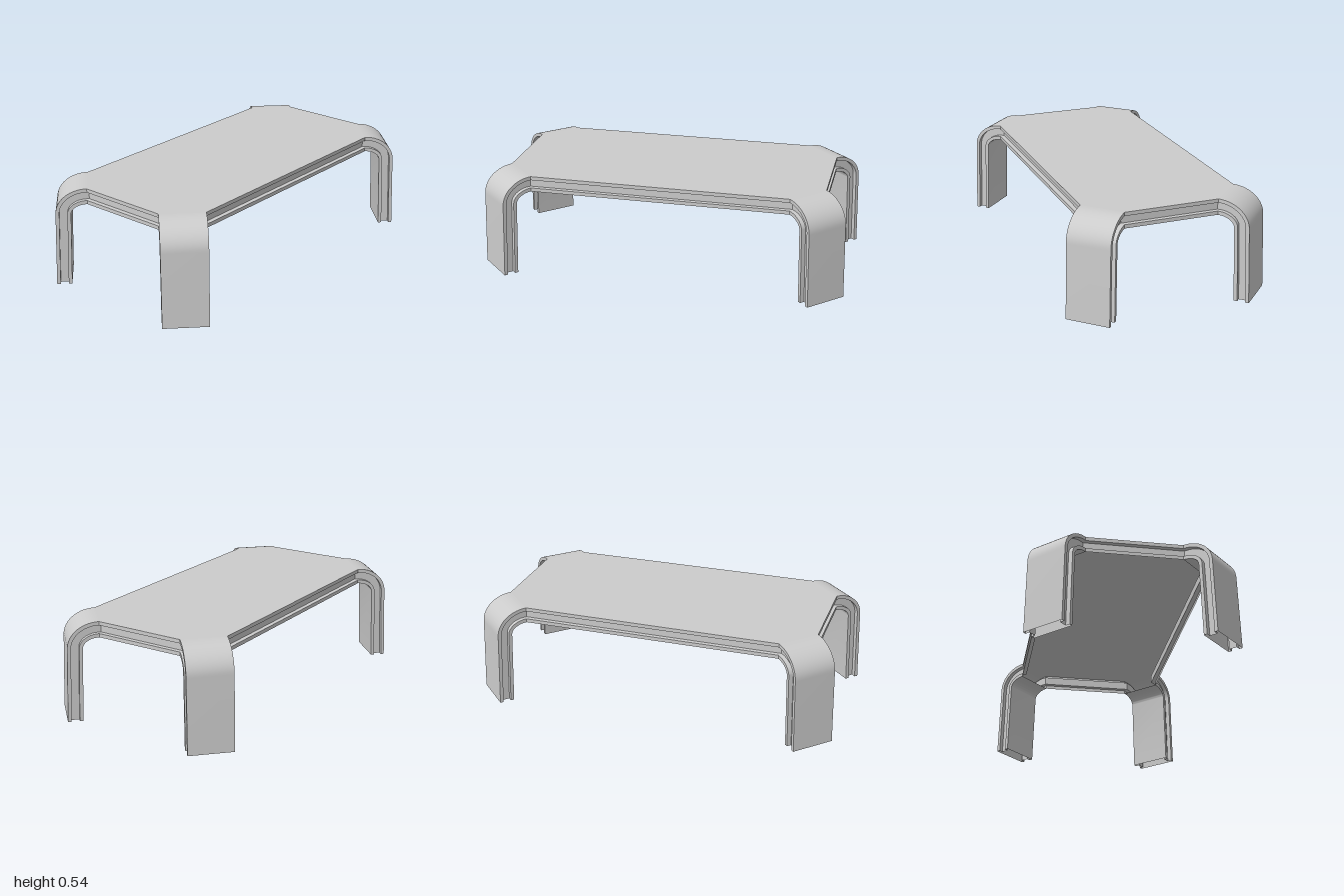
import * as THREE from 'three';
import { toCreasedNormals } from 'three/addons/utils/BufferGeometryUtils.js';

const H = 0.54, T = 0.085;            // table height, shell thickness
const GROOVE = 0.025, LIP = 0.02;     // side channel depth, lip height
const CX = 0.7825, CZ = 0.335;        // middle of each cut corner
const HALF = 0.1185;                  // half leg width
const C = HALF * Math.SQRT1_2;
const MITRE = Math.tan(Math.PI / 8);

// channelled edge: [depth inward, distance below the outer skin]
const EDGE = [[0, 0], [0, LIP], [GROOVE, LIP], [GROOVE, T - LIP], [0, T - LIP], [0, T]];

const material = new THREE.MeshStandardMaterial({ color: 0xcccccc, side: THREE.DoubleSide });

// skin a list of cross-sections (each a list of [x, y, z])
function loft(rings, closed) {
  const n = rings[0].length, index = [];
  for (let i = 0; i < rings.length - 1; i++) {
    for (let j = 0; j < (closed ? n : n - 1); j++) {
      const k = (j + 1) % n;
      const a = i * n + j, b = i * n + k, c = a + n, d = b + n;
      index.push(a, b, d, a, d, c);
    }
  }
  const geo = new THREE.BufferGeometry();
  geo.setAttribute('position', new THREE.Float32BufferAttribute(rings.flat(2), 3));
  geo.setIndex(index);
  return toCreasedNormals(geo, 0.6);
}

function add(parent, name, geometry) {
  const mesh = new THREE.Mesh(geometry, material);
  mesh.name = name;
  parent.add(mesh);
  return mesh;
}

// leg: channelled section bent from horizontal to a slightly splayed upright
function legGeometry() {
  const right = EDGE.map(([d, t]) => [HALF - d, t, d]);
  const left = EDGE.map(([d, t]) => [d - HALF, t, d]).reverse();
  const section = [...right, ...left];
  const bendR = 0.167, bendH = 0.14, splay = 0.014, segments = 14;
  const rings = [];
  for (let i = 0; i <= segments; i++) {
    const a = (i / segments) * Math.PI / 2;
    rings.push(section.map(([s, t, d]) => {
      const f = t / T;
      const r = (bendR - 0.08 * f) * Math.sin(a) - (i === 0 ? d * MITRE : 0);
      return [r, H - bendH + (bendH - T * f) * Math.cos(a), s];
    }));
  }
  rings.push(section.map(([s, t]) => [bendR - 0.08 * t / T + splay, 0, s]));
  return loft(rings, true);
}

// straight channelled edge facing +z, mitred into the legs
function edgeGeometry(halfLength, distance) {
  return loft([-1, 1].map(side => EDGE.map(([d, t]) =>
    [side * (halfLength + d * MITRE), H - t, distance - d])), false);
}

export function createModel() {
  const group = new THREE.Group();
  group.name = 'lowTable';

  // flat top with cut corners
  const x = CX + C, z = CZ + C, xi = CX - C, zi = CZ - C;
  const outline = [[x, -zi], [x, zi], [xi, z], [-xi, z], [-x, zi], [-x, -zi], [-xi, -z], [xi, -z]];
  const shape = new THREE.Shape(outline.map(p => new THREE.Vector2(...p)));
  const topGeo = new THREE.ShapeGeometry(shape);
  topGeo.rotateX(-Math.PI / 2);
  topGeo.translate(0, H, 0);
  add(group, 'tableTop', topGeo);

  // four channelled edges
  const longEdge = edgeGeometry(xi, z), shortEdge = edgeGeometry(zi, x);
  ['frontEdge', 'leftEdge', 'backEdge', 'rightEdge'].forEach((name, i) => {
    add(group, name, i % 2 ? shortEdge : longEdge).rotation.y = i * Math.PI / 2;
  });

  // four corner legs
  const leg = legGeometry();
  for (const sx of [1, -1]) for (const sz of [1, -1]) {
    const mesh = add(group, (sz > 0 ? 'front' : 'back') + (sx > 0 ? 'Left' : 'Right') + 'Leg', leg);
    mesh.position.set(sx * CX, 0, sz * CZ);
    mesh.rotation.y = -Math.atan2(sz, sx);
  }
  return group;
}
